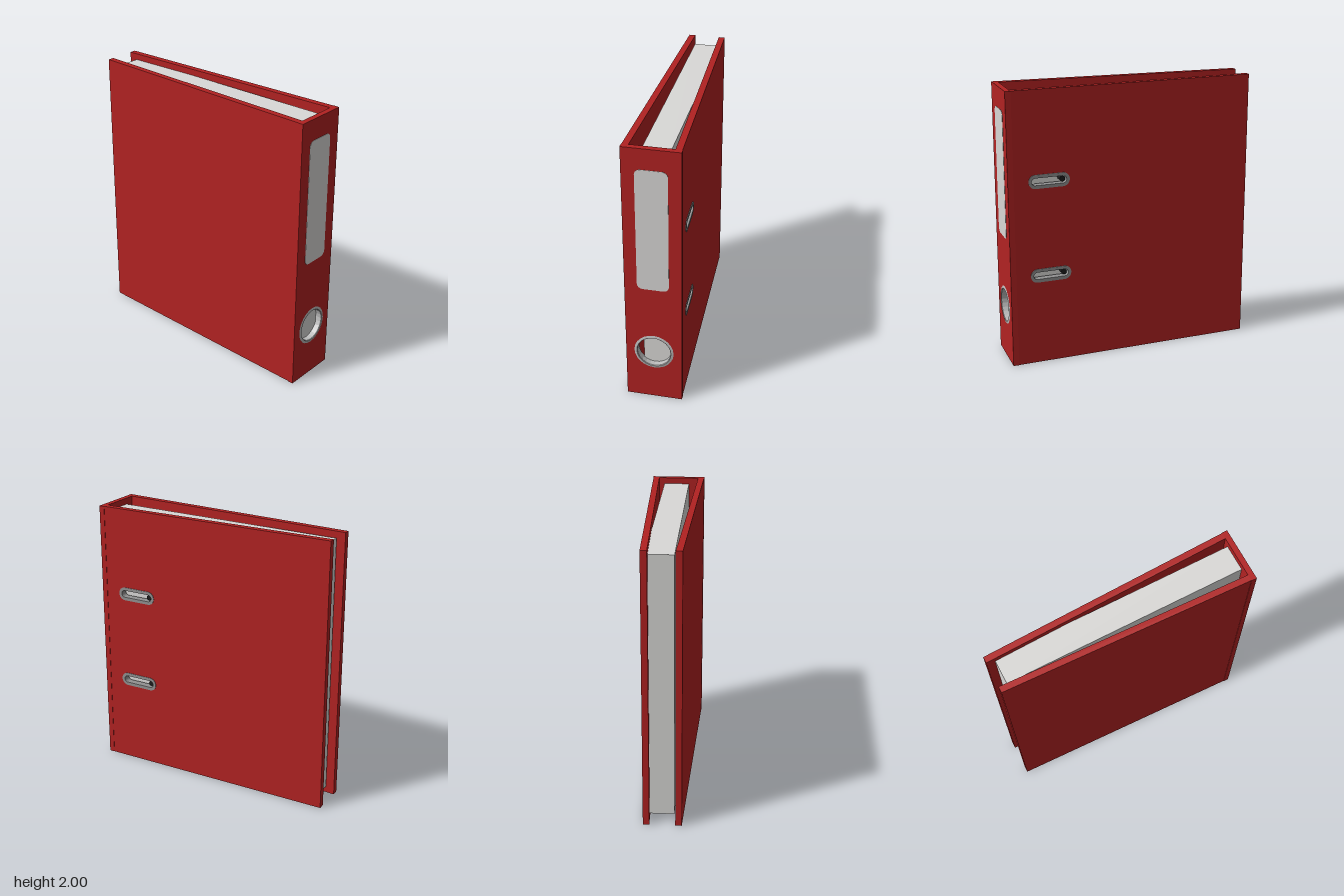
import * as THREE from 'three';

const mat = (name, color) => {
  const m = new THREE.MeshStandardMaterial({ color });
  m.name = name;
  return m;
};

// Rounded rectangle outline; works for both shapes and holes
function rounded(path, cx, cy, w, h, r) {
  const x = w / 2 - r, y = h / 2 - r;
  path.absarc(cx + x, cy + y, r, 0, Math.PI / 2);
  path.absarc(cx - x, cy + y, r, Math.PI / 2, Math.PI);
  path.absarc(cx - x, cy - y, r, Math.PI, Math.PI * 1.5);
  path.absarc(cx + x, cy - y, r, Math.PI * 1.5, Math.PI * 2);
  path.closePath();
  return path;
}

function rectangle(x0, x1, y0, y1) {
  return new THREE.Shape([[x0, y0], [x1, y0], [x1, y1], [x0, y1]].map(p => new THREE.Vector2(...p)));
}

const extrude = (shape, depth) =>
  new THREE.ExtrudeGeometry(shape, { depth, bevelEnabled: false, curveSegments: 8 });

// Slant a flat panel so that the covers close towards the open edge
function slant(geometry, side, offset) {
  const p = geometry.attributes.position;
  for (let i = 0; i < p.count; i++) {
    p.setZ(i, p.getZ(i) + offset + side * (0.166 + 0.0335 * p.getX(i)));
  }
  geometry.computeVertexNormals();
  return geometry;
}

export function createModel() {
  const red = mat('red board', 0xb22222);
  const paper = mat('paper', 0xdad9d7);
  const label = mat('label', 0xd9d8d6);
  const metal = mat('metal', 0xbdbdbd);
  const rimGrey = mat('slot rim grey', 0x929292);
  const black = mat('black', 0x1c1c1c);

  const group = new THREE.Group();
  const add = (name, geometry, material, x = 0, y = 0, z = 0) => {
    const m = new THREE.Mesh(geometry, material);
    m.name = name;
    m.position.set(x, y, z);
    group.add(m);
    return m;
  };

  const T = 0.045, slotX = 0.615, slotYs = [0.665, 1.355];

  // Covers: plain front, back with two slots
  add('frontCover', slant(extrude(rectangle(-0.914, 0.874, 0, 2), T), 1, -T), red);
  const back = rectangle(-0.914, 0.874, 0, 2);
  for (const y of slotYs) back.holes.push(rounded(new THREE.Path(), slotX, y, 0.27, 0.066, 0.033));
  add('backCover', slant(extrude(back, T), -1, 0), red);

  // Spine with finger hole
  const spine = rectangle(-0.198, 0.198, 0, 2);
  spine.holes.push(new THREE.Path().absarc(0, 0.4, 0.128, 0, Math.PI * 2));
  add('spine', extrude(spine, 0.04), red, 0.872).rotation.y = Math.PI / 2;

  // Spine label
  add('spineLabel', extrude(rounded(new THREE.Shape(), 0, 1.39, 0.22, 0.92, 0.04), 0.003),
    label, 0.911).rotation.y = Math.PI / 2;

  // Metal eyelet lining the finger hole
  const profile = [[0.14, -0.052], [0.118, -0.052], [0.118, 0], [0.122, 0.004], [0.14, 0]]
    .map(p => new THREE.Vector2(...p));
  const eyelet = new THREE.LatheGeometry(profile, 24).toNonIndexed();
  eyelet.computeVertexNormals();
  metal.side = THREE.DoubleSide;
  add('fingerHoleRing', eyelet, metal, 0.912, 0.4).rotation.z = -Math.PI / 2;

  // Slot rims, with a ring post end showing in each slot
  for (const y of slotYs) {
    const rim = rounded(new THREE.Shape(), slotX, y, 0.3, 0.1, 0.05);
    rim.holes.push(rounded(new THREE.Path(), slotX, y, 0.255, 0.052, 0.026));
    add('slotRim', slant(extrude(rim, T + 0.008), -1, -0.004), rimGrey);
    const post = new THREE.CylinderGeometry(0.02, 0.02, 0.06, 12);
    add('ringPost', post, black, slotX - 0.1, y, -0.14).rotation.x = Math.PI / 2;
  }

  // Paper stack
  add('paperStack', new THREE.BoxGeometry(1.725, 1.9, 0.19), paper, 0.008, 1.005, -0.015);

  return group;
}
